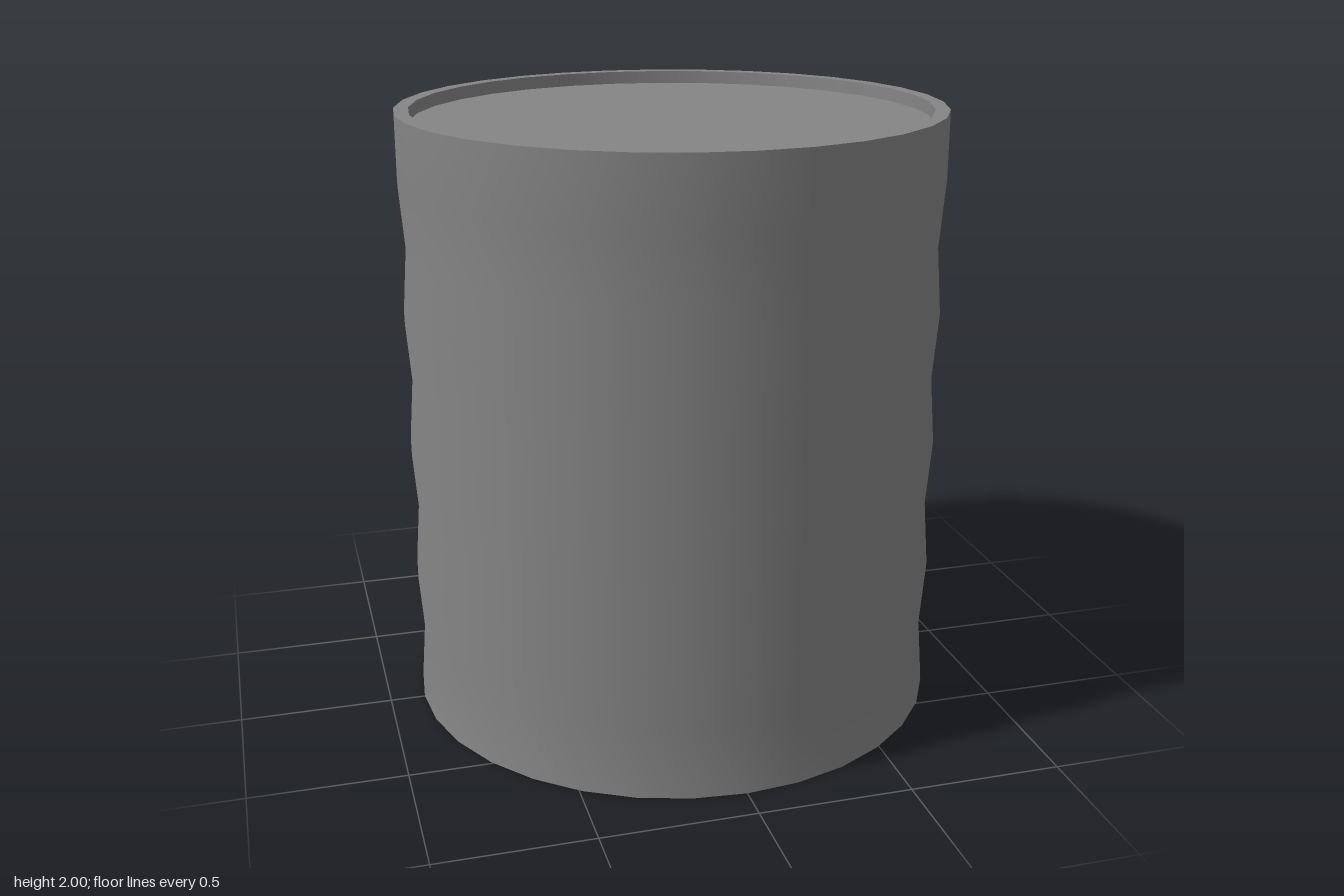
import * as THREE from 'three';

const SIDES = 32, HEIGHT = 2;
const OUTER = 0.885, WAIST = 0.868, INNER = 0.838;
const LID_Y = HEIGHT - 0.043, BASE_Y = 0.065;

export function createModel() {
  const drum = new THREE.Group();
  drum.name = 'drum';
  const material = new THREE.MeshStandardMaterial({ color: 0x858585 });

  // Revolve one [radius, height] profile; separate strips keep the edges sharp
  function revolve(name, profile) {
    const points = profile.map(([r, y]) => new THREE.Vector2(r, y));
    const geometry = new THREE.LatheGeometry(points, SIDES);
    geometry.normalizeNormals(); // even shading up to the last ring
    const mesh = new THREE.Mesh(geometry, material);
    mesh.name = name;
    drum.add(mesh);
  }

  // Rippled wall: ridges and waists alternate, with a straight band at the top
  const wall = [];
  for (let i = 0; i <= 9; i++) {
    wall.push([i % 2 && i < 9 ? WAIST : OUTER, (HEIGHT * i) / 9]);
  }
  revolve('wall', wall);

  // Top rim with sunken lid
  revolve('topRim', [[OUTER, HEIGHT], [INNER, HEIGHT]]);
  revolve('topRimInside', [[INNER, HEIGHT], [INNER, LID_Y]]);
  revolve('lid', [[INNER, LID_Y], [0, LID_Y]]);

  // Bottom rim with recessed base
  revolve('base', [[0, BASE_Y], [INNER, BASE_Y]]);
  revolve('bottomRimInside', [[INNER, BASE_Y], [INNER, 0]]);
  revolve('bottomRim', [[INNER, 0], [OUTER, 0]]);

  return drum;
}
